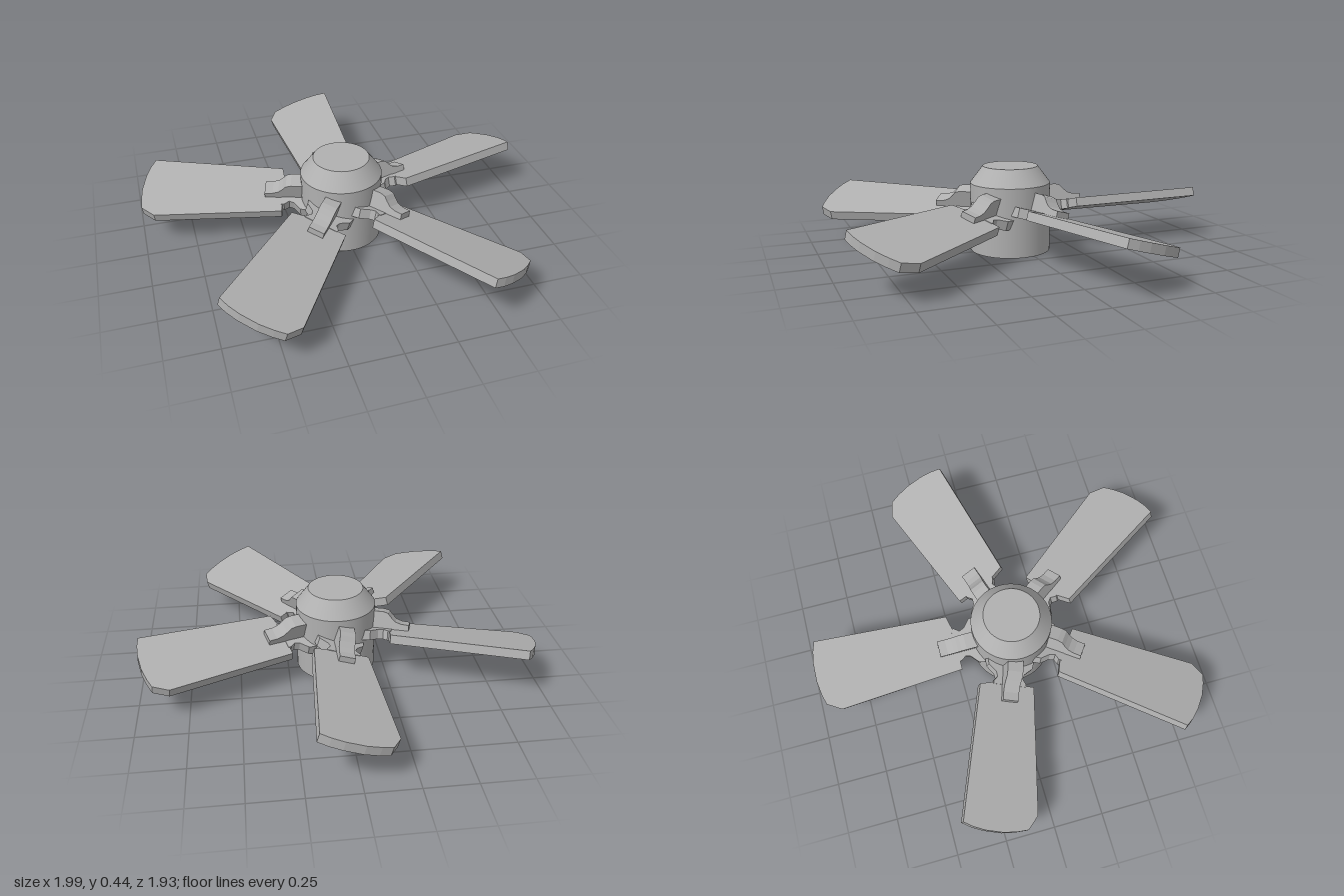
import * as THREE from 'three';

const BLADES = 5;
const TILT = 0.288;      // blade pitch
const BLADE_Y = 0.204;   // height of the blade plane
const THICK = 0.045;

// Flat plate from an outline of [x, outward] points, centred on y = 0, pointing to -z
function plate(points, thickness) {
  const shape = new THREE.Shape(points.map(([x, r]) => new THREE.Vector2(x, r)));
  const geo = new THREE.ExtrudeGeometry(shape, { depth: thickness, bevelEnabled: false });
  geo.rotateX(-Math.PI / 2);
  geo.translate(0, -thickness / 2, 0);
  return geo;
}

// Side profile of [outward, y] points extruded across x, pointing to -z
function sideProfile(points, width) {
  const shape = new THREE.Shape(points.map(([r, y]) => new THREE.Vector2(r, y)));
  const geo = new THREE.ExtrudeGeometry(shape, { depth: width, bevelEnabled: false });
  geo.translate(0, 0, -width / 2);
  geo.rotateY(Math.PI / 2);
  return geo;
}

export function createModel() {
  const grey = new THREE.MeshStandardMaterial({ color: 0xb0b0b0 });
  grey.name = 'grey';
  const model = new THREE.Group();
  model.name = 'ceilingFan';

  const add = (parent, name, geo) => {
    const mesh = new THREE.Mesh(geo, grey);
    mesh.name = name;
    parent.add(mesh);
    return mesh;
  };

  const fan = new THREE.Group();
  fan.name = 'fan';
  fan.position.set(-0.005, 0, 0.052);
  model.add(fan);

  // Motor housing: straight drum with a bevelled cap
  add(fan, 'motorDrum', new THREE.CylinderGeometry(0.204, 0.204, 0.35, 48)).position.y = 0.175;
  add(fan, 'motorCap', new THREE.CylinderGeometry(0.14, 0.204, 0.085, 48)).position.y = 0.3925;

  // Blade: tapered paddle with a clipped, slightly rounded tip
  const bladeGeo = plate([
    [-0.128, 0.294], [0.08, 0.291], [0.154, 0.308], [0.2, 0.985],
    [0.15, 1.003], [0.09, 1.015], [0, 1.02], [-0.07, 1.012], [-0.123, 1.0], [-0.168, 0.93],
  ], THICK);

  // Holder: waisted plate flaring at the hub and at the blade root
  const half = [[0.125, 0.15], [0.115, 0.2], [0.075, 0.235], [0.066, 0.26], [0.085, 0.285], [0.085, 0.3]];
  const holderGeo = plate([...half, ...half.map(([x, r]) => [-x, r]).reverse()], 0.05);

  // Tongue: clamp curving down from the hub onto the blade
  const tongueGeo = sideProfile([
    [0.15, 0], [0.385, 0], [0.385, 0.052], [0.345, 0.054], [0.315, 0.064],
    [0.293, 0.084], [0.275, 0.105], [0.25, 0.112], [0.15, 0.112],
  ], 0.08);

  for (let i = 0; i < BLADES; i++) {
    const arm = new THREE.Group();
    arm.name = 'bladeArm';
    arm.rotation.y = -i * 2 * Math.PI / BLADES;
    fan.add(arm);

    const pitched = new THREE.Group();
    pitched.name = 'pitchedBlade';
    pitched.position.y = BLADE_Y;
    pitched.rotation.z = TILT;
    arm.add(pitched);

    add(pitched, 'blade', bladeGeo);
    add(pitched, 'bladeHolder', holderGeo);
    add(pitched, 'clampTongue', tongueGeo);
  }
  return model;
}
